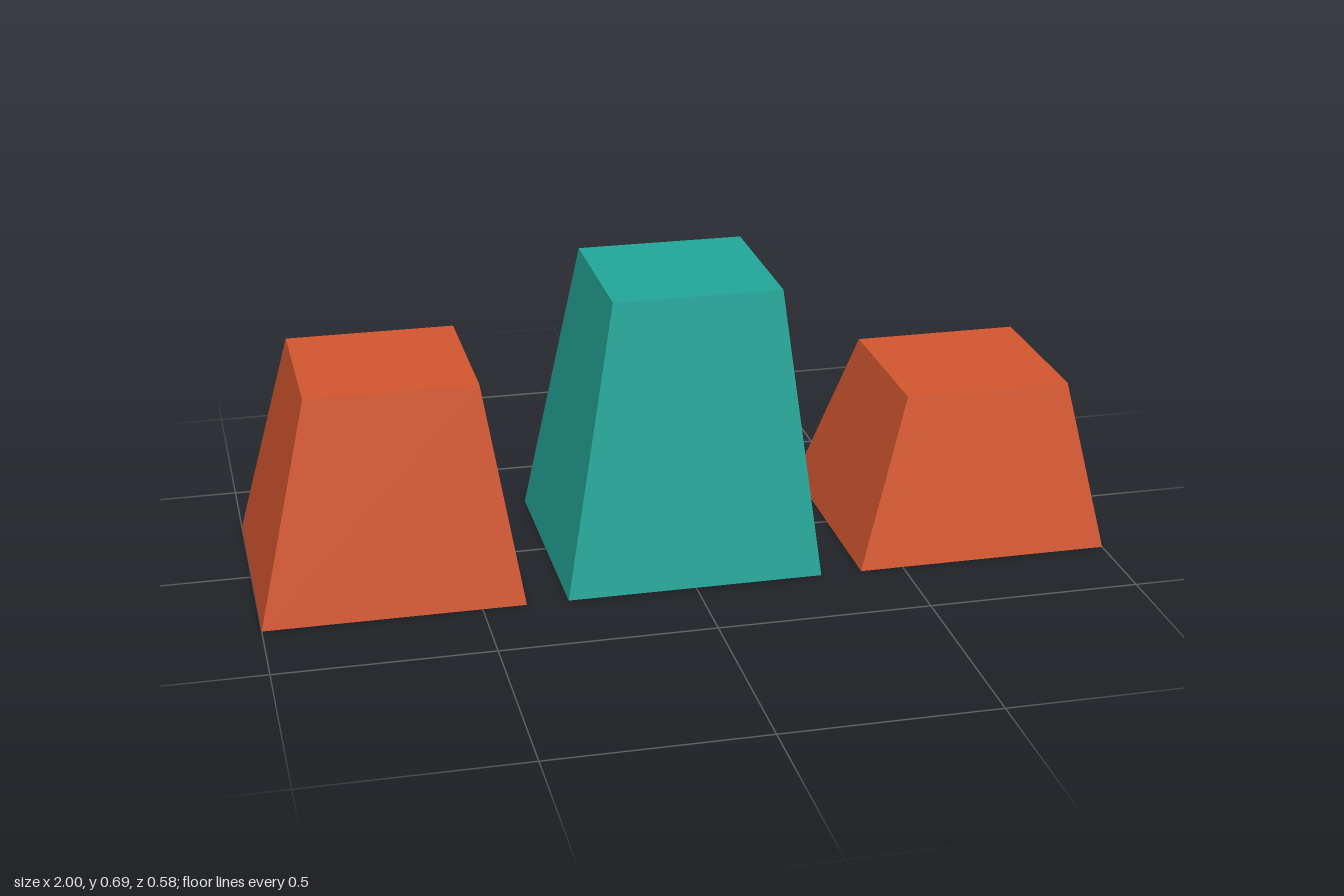
import * as THREE from 'three';

const BASE_W = 0.602, BASE_D = 0.577;
const TOP = 0.394, SHIFT = 0.02; // top square and its offset from the base centre

// Box whose upper corners are drawn in to a smaller, slightly shifted square
function taperedBlock(height) {
  const geo = new THREE.BoxGeometry(BASE_W, height, BASE_D);
  geo.translate(0, height / 2, 0);
  const pos = geo.attributes.position;
  for (let i = 0; i < pos.count; i++) {
    if (pos.getY(i) < height / 2) continue;
    pos.setX(i, Math.sign(pos.getX(i)) * TOP / 2 + SHIFT);
    pos.setZ(i, Math.sign(pos.getZ(i)) * TOP / 2 + SHIFT);
  }
  const flat = geo.toNonIndexed();
  flat.computeVertexNormals();
  return flat;
}

export function createModel() {
  const model = new THREE.Group();
  model.name = 'taperedBlocks';

  const orange = new THREE.MeshStandardMaterial({ color: 0xd4562f });
  orange.name = 'orange';
  const teal = new THREE.MeshStandardMaterial({ color: 0x23a79a });
  teal.name = 'teal';

  // Three blocks in a row
  const blocks = [
    ['rightBlock', -0.699, 0.52, orange],
    ['middleBlock', 0, 0.69, teal],
    ['leftBlock', 0.699, 0.402, orange],
  ];
  for (const [name, x, height, material] of blocks) {
    const mesh = new THREE.Mesh(taperedBlock(height), material);
    mesh.name = name;
    mesh.position.x = x;
    model.add(mesh);
  }
  return model;
}
